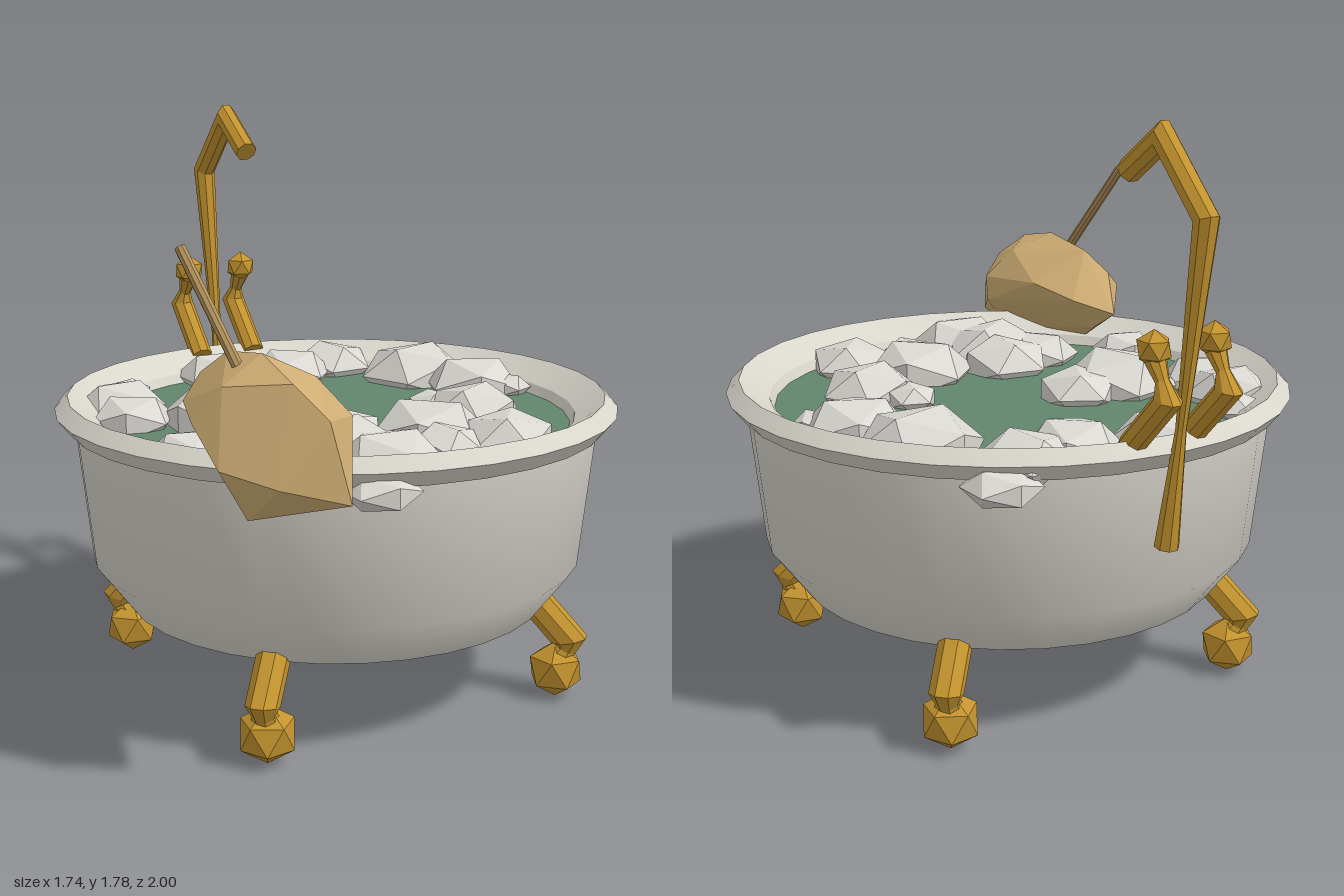
import * as THREE from 'three';
import { toCreasedNormals } from 'three/addons/utils/BufferGeometryUtils.js';
import { ConvexGeometry } from 'three/addons/geometries/ConvexGeometry.js';

function mat(name, color) {
  const m = new THREE.MeshStandardMaterial({ color });
  m.name = name;
  return m;
}

function flat(geometry) {
  const g = geometry.index ? geometry.toNonIndexed() : geometry;
  g.computeVertexNormals();
  return g;
}

// Faceted, mitred pipe along points [z, y, radius] in the plane x = 0
function pipe(points, sides = 8) {
  const pos = [], idx = [], n = points.length;
  const dir = (a, b) => new THREE.Vector2(b[0] - a[0], b[1] - a[1]).normalize();
  points.forEach((p, i) => {
    const din = i > 0 ? dir(points[i - 1], p) : dir(p, points[1]);
    const dout = i < n - 1 ? dir(p, points[i + 1]) : din;
    const t = din.clone().add(dout).normalize();
    const miter = Math.min(1.45, 1 / t.dot(din));
    for (let j = 0; j < sides; j++) {
      const a = (j + 0.5) / sides * Math.PI * 2;
      const s = Math.sin(a) * p[2] * miter;
      pos.push(Math.cos(a) * p[2], p[1] + s * t.x, p[0] - s * t.y);
    }
  });
  for (let i = 0; i < n - 1; i++) {
    for (let j = 0; j < sides; j++) {
      const k = (j + 1) % sides, a = i * sides, b = a + sides;
      idx.push(a + j, a + k, b + k, a + j, b + k, b + j);
    }
  }
  const last = (n - 1) * sides;
  for (let j = 1; j < sides - 1; j++) {
    idx.push(0, j + 1, j, last, last + j, last + j + 1);
  }
  const g = new THREE.BufferGeometry();
  g.setAttribute('position', new THREE.Float32BufferAttribute(pos, 3));
  g.setIndex(idx);
  return flat(g);
}

// Icosahedron standing on a vertex
function ball(radius) {
  return new THREE.IcosahedronGeometry(radius, 0).rotateZ(Math.atan(0.618));
}

function lathe(profile, crease) {
  const g = new THREE.LatheGeometry(profile.map(p => new THREE.Vector2(...p)), 32);
  return toCreasedNormals(g, crease);
}

export function createModel() {
  const model = new THREE.Group();
  model.name = 'bathtub';
  const enamel = mat('enamel', 0xd8d5cb);
  const foamWhite = mat('foamWhite', 0xdad8d2);
  const waterGreen = mat('waterGreen', 0x62866d);
  const brass = mat('brass', 0xc4942f);
  const sponge = mat('spongeTan', 0xcfae74);
  const wood = mat('handleWood', 0xb3925c);

  function add(name, geometry, material, parent = model) {
    const mesh = new THREE.Mesh(geometry, material);
    mesh.name = name;
    parent.add(mesh);
    return mesh;
  }

  // Tub shell and rolled rim
  add('tubBody', lathe([[0, 0.29], [0.66, 0.29], [0.765, 0.43], [0.81, 0.85]], 0.6), enamel);
  add('rim', lathe([[0.80, 0.845], [0.83, 0.85], [0.87, 0.90], [0.83, 0.94],
    [0.74, 0.88], [0.71, 0.82]], 0.4), enamel);

  // Water surface
  const water = add('water', new THREE.CircleGeometry(0.73, 32).rotateX(-Math.PI / 2), waterGreen);
  water.position.y = 0.85;

  // Foam lumps: x, z, radius
  const foam = new THREE.Group();
  foam.name = 'foam';
  model.add(foam);
  const lumps = [
    [-0.10, -0.66, 0.13], [0.15, -0.59, 0.13], [0.33, -0.63, 0.13], [-0.48, -0.53, 0.075],
    [-0.57, -0.38, 0.13], [-0.60, -0.20, 0.12], [-0.36, -0.09, 0.17], [-0.18, -0.12, 0.12],
    [0.51, -0.36, 0.17], [0.59, -0.12, 0.15], [0.67, -0.03, 0.07], [0.30, 0.08, 0.075],
    [0.37, 0.22, 0.14], [-0.62, 0.25, 0.10], [-0.34, 0.35, 0.12], [-0.17, 0.30, 0.14],
    [-0.23, 0.47, 0.16], [-0.18, 0.62, 0.15], [0.11, 0.37, 0.16], [0.06, 0.54, 0.10],
    [0.27, 0.55, 0.13],
  ];
  lumps.forEach(([x, z, r], i) => {
    const lump = add('foamLump', new THREE.IcosahedronGeometry(r * 1.12, 0), foamWhite, foam);
    lump.position.set(x, 0.87, z);
    lump.rotation.y = i * 2.4;
    lump.scale.y = 0.6;
  });
  // Lumps pushing out under the rim
  [[-0.28, 0.75], [0.45, -0.70]].forEach(([x, z]) => {
    const lump = add('spilledFoam', new THREE.IcosahedronGeometry(0.115, 0), foamWhite, foam);
    lump.position.set(x, 0.835, z);
    lump.scale.y = 0.5;
  });

  // Four splayed claw feet
  for (let i = 0; i < 4; i++) {
    const foot = new THREE.Group();
    foot.name = 'foot';
    foot.rotation.y = Math.PI / 4 + i * Math.PI / 2;
    model.add(foot);
    add('leg', pipe([[0.62, 0.33, 0.05], [0.75, 0.19, 0.05], [0.74, 0.16, 0.035],
      [0.715, 0.12, 0.05]]), brass, foot);
    add('footBall', ball(0.09), brass, foot).position.set(0, 0.09, 0.71);
  }

  // Faucet: supply pipe with a pinched waist, then the bent spout
  add('faucet', pipe([[-0.83, 0.62, 0.036], [-0.88, 0.97, 0.016], [-0.96, 1.545, 0.036],
    [-0.77, 1.735, 0.036], [-0.62, 1.63, 0.036]]), brass);

  // Two taps with round knobs
  for (const side of [-1, 1]) {
    const tap = new THREE.Group();
    tap.name = side > 0 ? 'leftTap' : 'rightTap';
    tap.position.x = side * 0.1;
    model.add(tap);
    add('tapPipe', pipe([[-0.79, 0.915, 0.037], [-0.95, 1.08, 0.037], [-0.925, 1.125, 0.02],
      [-0.89, 1.18, 0.032]]), brass, tap);
    add('knob', ball(0.052), brass, tap).position.set(0, 1.205, -0.885);
  }

  // Faceted sponge resting on the rim
  const hull = [
    [-0.57, 1.00, 0.24], [-0.47, 1.04, 0.34], [-0.62, 1.12, 0.35], [-0.55, 0.94, 0.33],
    [-0.70, 1.06, 0.41], [-0.58, 1.19, 0.44], [-0.41, 1.08, 0.50], [-0.60, 0.88, 0.46],
    [-0.58, 1.22, 0.65], [-0.77, 1.05, 0.62], [-0.71, 1.15, 0.68], [-0.46, 1.16, 0.72],
    [-0.385, 1.06, 0.78], [-0.38, 0.98, 0.76], [-0.47, 0.86, 0.78], [-0.69, 0.82, 0.78],
    [-0.77, 0.96, 0.78], [-0.60, 1.18, 0.86], [-0.55, 1.10, 0.96], [-0.67, 0.93, 0.92],
    [-0.51, 0.89, 1.00],
  ].map(p => new THREE.Vector3(...p));
  add('sponge', flat(new ConvexGeometry(hull)), sponge);

  // Leaning handle
  const top = new THREE.Vector3(-0.69, 1.47, 0.39), base = new THREE.Vector3(-0.62, 1.16, 0.61);
  const axis = top.clone().sub(base);
  const handle = add('spongeHandle',
    flat(new THREE.CylinderGeometry(0.016, 0.016, axis.length(), 8)), wood);
  handle.position.copy(top).add(base).multiplyScalar(0.5);
  handle.quaternion.setFromUnitVectors(new THREE.Vector3(0, 1, 0), axis.normalize());

  return model;
}
